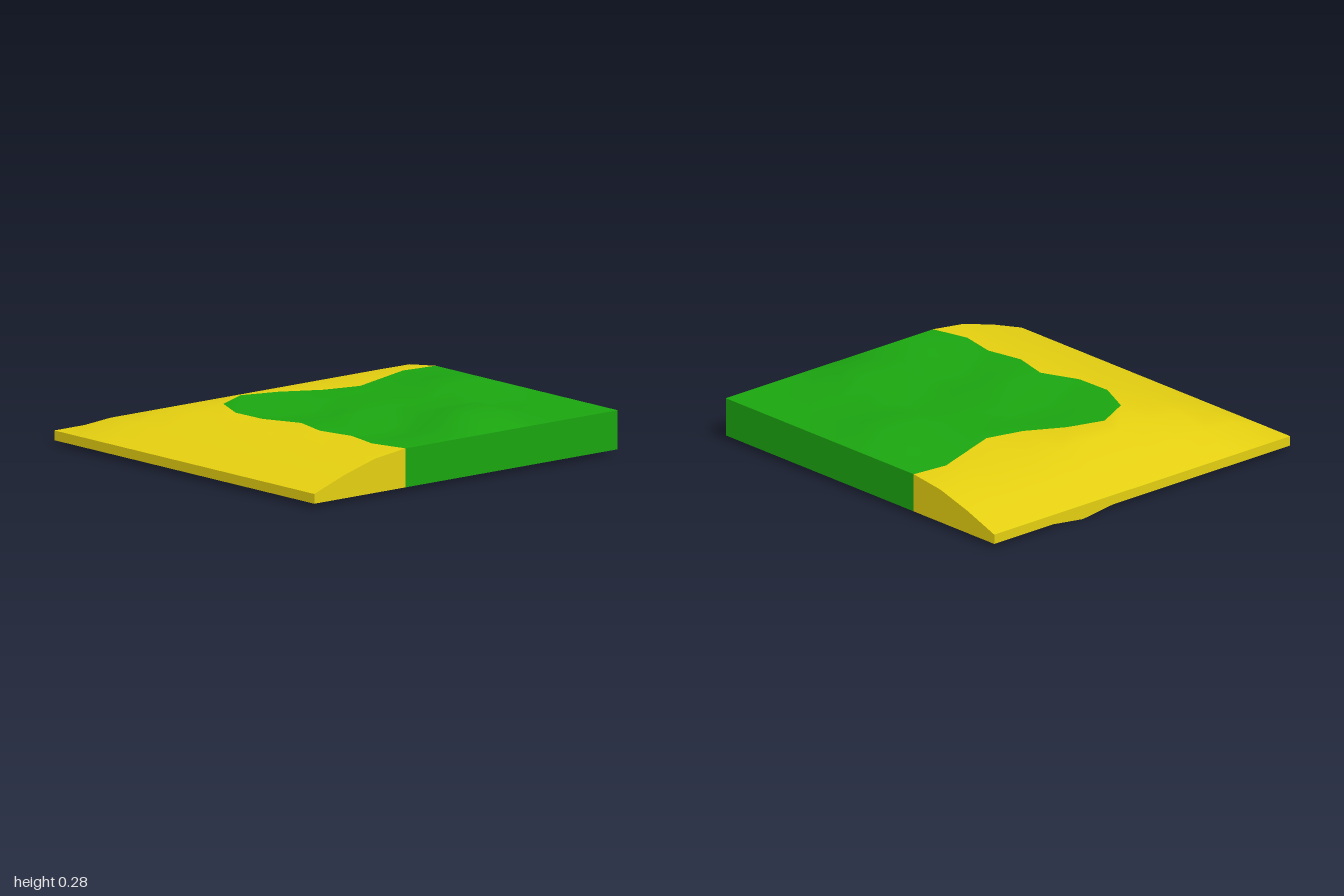
import * as THREE from 'three';

const N = 10, STEP = 0.2, SHORE = 3;          // grid cells, cell size, first grass row/column
const BASE = 0.025;
const SLOPE = [0.075, 0.145, 0.2, 0.225];     // beach height by distance from the sea edge

// Shoreline positions of the grass border, from the corner outwards
const westShore = [-0.4, -0.49, -0.485, -0.4, -0.45, -0.41, -0.45, -0.4];
const northShore = [-0.4, -0.5, -0.44, -0.33, -0.28, -0.35, -0.42, -0.4];

// Hills and hollows: 2 x 2 blocks of raised or sunk grid points [column, row, change]
const bumps = [[6, 8, 0.06], [8, 5, 0.05], [4, 4, -0.05], [4, 7, -0.05]];

function topPoint(i, j) {
  let x = -1 + i * STEP, z = -1 + j * STEP;
  let y = SLOPE[Math.min(i, j, SHORE)];
  if (i === SHORE && j >= SHORE) x = westShore[j - SHORE];
  if (j === SHORE && i >= SHORE) z = northShore[i - SHORE];
  for (const [bi, bj, h] of bumps) {
    if (i >= bi && i <= bi + 1 && j >= bj && j <= bj + 1) y += h;
  }
  return [x, y, z];
}

function bottomPoint(i, j) {
  const x = i === SHORE && j === 9 ? -0.46 : -1 + i * STEP;
  const y = i === 7 && j <= 1 ? 0 : BASE;     // small sag under the back edge
  return [x, y, -1 + j * STEP];
}

const isGrass = (i, j) => i >= SHORE && j >= SHORE;

// A grid sheet with common normals, split into sand and grass
function sheet(point, up) {
  const positions = [], sand = [], grass = [];
  for (let j = 0; j <= N; j++) for (let i = 0; i <= N; i++) positions.push(...point(i, j));
  for (let j = 0; j < N; j++) for (let i = 0; i < N; i++) {
    const a = j * (N + 1) + i, b = a + 1, c = a + N + 1, d = c + 1;
    (isGrass(i, j) ? grass : sand).push(...(up ? [a, c, b, b, c, d] : [a, b, c, b, d, c]));
  }
  const whole = new THREE.BufferGeometry();
  whole.setAttribute('position', new THREE.Float32BufferAttribute(positions, 3));
  whole.setIndex([...sand, ...grass]);
  whole.computeVertexNormals();
  return [sand, grass].map((index) => whole.clone().setIndex(index));
}

// Upright strips round the border, split into sand and grass
function walls() {
  const parts = [[], []];
  const addWall = (i0, j0, i1, j1, grass) => {
    const a = bottomPoint(i0, j0), b = bottomPoint(i1, j1);
    const c = topPoint(i1, j1), d = topPoint(i0, j0);
    parts[grass ? 1 : 0].push(...a, ...b, ...c, ...a, ...c, ...d);
  };
  for (let k = 0; k < N; k++) {
    addWall(k, N, k + 1, N, isGrass(k, N));     // front
    addWall(N, k + 1, N, k, isGrass(N, k));     // left side
    addWall(k + 1, 0, k, 0, false);             // back
    addWall(0, k, 0, k + 1, false);             // right side
  }
  return parts.map((p) => {
    const g = new THREE.BufferGeometry();
    g.setAttribute('position', new THREE.Float32BufferAttribute(p, 3));
    g.computeVertexNormals();
    return g;
  });
}

export function createModel() {
  const model = new THREE.Group();
  model.name = 'coastCornerTile';
  const materials = [0xe4cf10, 0x1ba510].map((color) => new THREE.MeshStandardMaterial({ color }));
  const names = ['sand', 'grass'];
  const add = (geometries, part) => geometries.forEach((g, k) => {
    const mesh = new THREE.Mesh(g, materials[k]);
    mesh.name = names[k] + part;
    model.add(mesh);
  });
  add(sheet(topPoint, true), 'Surface');
  add(sheet(bottomPoint, false), 'Underside');
  add(walls(), 'Sides');
  return model;
}
